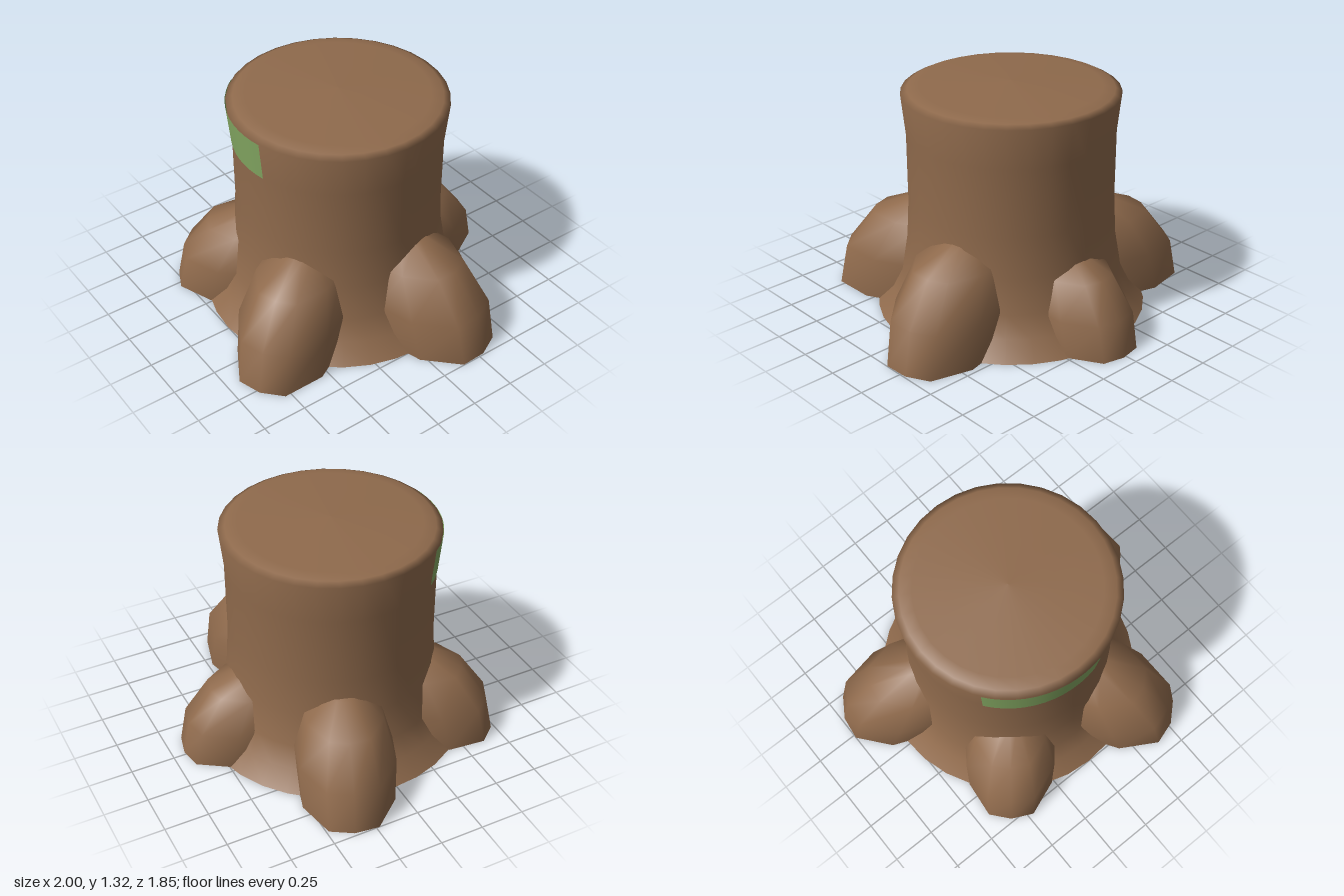
import * as THREE from 'three';

const CENTRE_X = -0.008, CENTRE_Z = -0.015;

// Root levels from the ground to the ridge: [nose distance behind the tip, height, half-width share]
const ROOT_LEVELS = [
  [0, 0, 0.98],
  [0.05, 0.245, 1.02],
  [0.22, 0.47, 0.8],
  [0.46, 0.575, 0.3],
  [0.68, 0.6, 0],
];
// Half outline of a rounded nose: [distance behind the nose, half-width share]
const NOSE = [[0.46, 1], [0.245, 0.97], [0.032, 0.52]];
const ROOT_INNER_END = 0.1;

// Arched root: stacked U-shaped outlines, open underneath and at the end inside the trunk
function rootGeometry(reach, height, halfWidth) {
  const half = [[null, 1], ...NOSE];
  const outline = [
    ...half.map(([back, w]) => [back, -w]),
    [0, 0],
    ...half.reverse().map(([back, w]) => [back, w]),
  ];
  const n = outline.length, positions = [], index = [];
  for (const [back, y, share] of ROOT_LEVELS) {
    const nose = reach - back * height;
    for (const [behind, w] of outline) {
      const x = behind === null ? ROOT_INNER_END : Math.max(ROOT_INNER_END, nose - behind * share * height);
      positions.push(x, y * height, w * share * halfWidth);
    }
  }
  for (let k = 0; k < ROOT_LEVELS.length - 1; k++) {
    for (let i = 0; i < n - 1; i++) {
      const a = k * n + i, b = a + 1;
      index.push(a, a + n, b, b, a + n, b + n);
    }
  }
  const geometry = new THREE.BufferGeometry();
  geometry.setAttribute('position', new THREE.Float32BufferAttribute(positions, 3));
  geometry.setIndex(index);
  geometry.computeVertexNormals();
  return geometry;
}

export function createModel() {
  const bark = new THREE.MeshStandardMaterial({ color: 0x8f6a4c, side: THREE.DoubleSide });
  bark.name = 'bark brown';
  const green = new THREE.MeshStandardMaterial({ color: 0x84a862, side: THREE.DoubleSide });
  green.name = 'moss green';

  const model = new THREE.Group();
  model.name = 'treeStump';
  const stump = new THREE.Group();
  stump.name = 'stump';
  stump.position.set(CENTRE_X, 0, CENTRE_Z);
  model.add(stump);

  const add = (name, geometry, material) => {
    const mesh = new THREE.Mesh(geometry, material);
    mesh.name = name;
    stump.add(mesh);
    return mesh;
  };
  const profile = (points) => points.map(([r, y]) => new THREE.Vector2(r, y));

  // Flared trunk, open underneath, with a slightly domed top
  add('trunk', new THREE.LatheGeometry(profile([
    [0.765, 0], [0.68, 0.1], [0.625, 0.22], [0.59, 0.42], [0.577, 0.65],
    [0.578, 1.04], [0.602, 1.268], [0.565, 1.287], [0.5, 1.298], [0, 1.32],
  ]), 32), bark);

  // Moss patch wrapped round the upper front
  add('mossPatch', new THREE.LatheGeometry(profile([
    [0.583, 1.04], [0.605, 1.265],
  ]), 12, -0.905, 1.12), green);

  // Roots: [name, heading in degrees from +x towards +z, reach, height share, half width]
  const roots = [
    ['leftRoot', -15, 1.035, 1, 0.275],
    ['frontLeftRoot', 59.5, 1.04, 1, 0.27],
    ['frontRightRoot', 127.8, 0.944, 0.88, 0.255],
    ['rightRoot', 200, 1.037, 0.94, 0.265],
    ['backRoot', -88.3, 0.915, 0.82, 0.243],
  ];
  for (const [name, heading, reach, height, halfWidth] of roots) {
    add(name, rootGeometry(reach, height, halfWidth), bark).rotation.y = -THREE.MathUtils.degToRad(heading);
  }
  return model;
}
